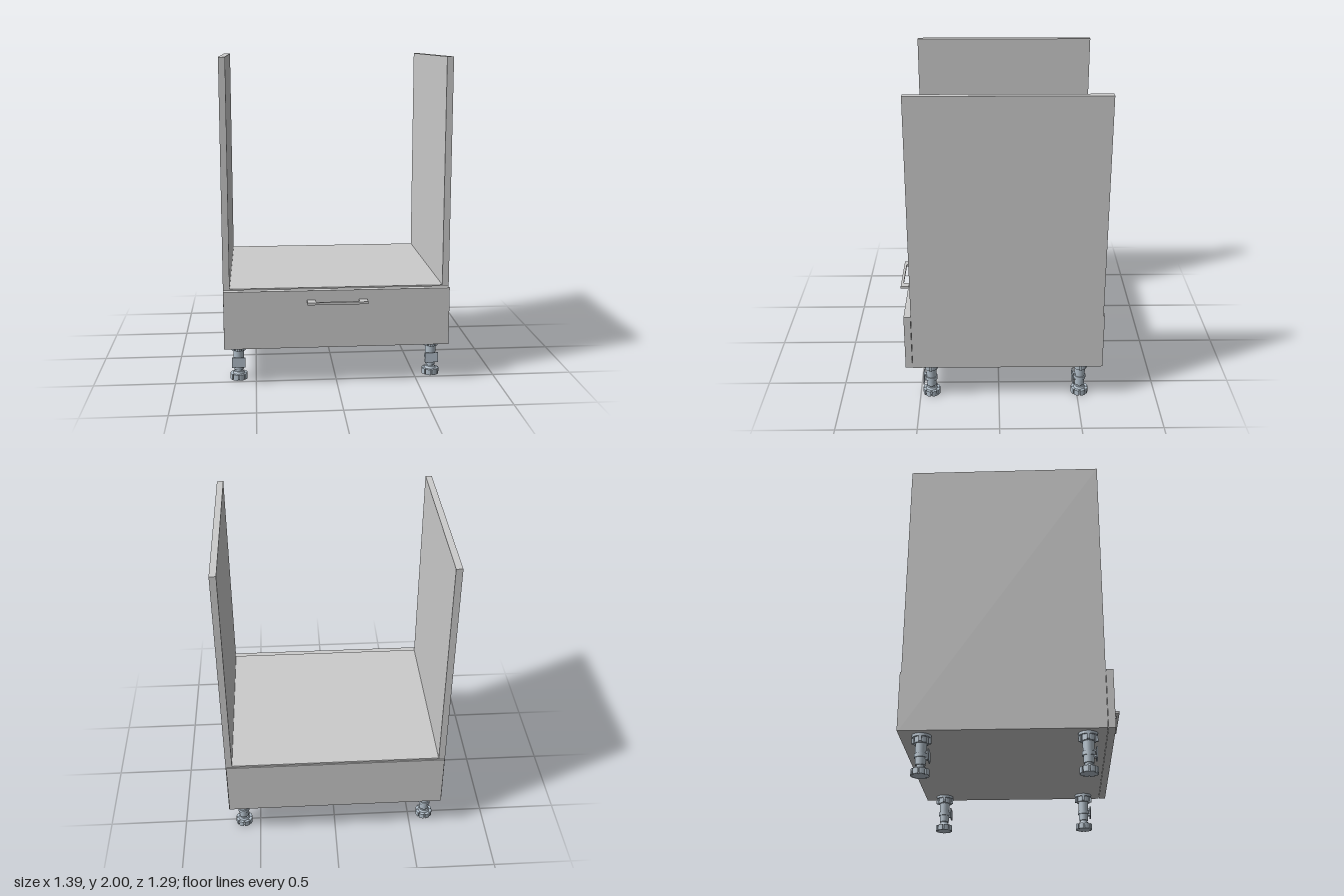
import * as THREE from 'three';

const grey = new THREE.MeshStandardMaterial({ color: 0xcccccc });
const legGrey = new THREE.MeshStandardMaterial({ color: 0xb2bfca });

function add(parent, name, geometry, material = grey) {
  const mesh = new THREE.Mesh(geometry, material);
  mesh.name = name;
  parent.add(mesh);
  return mesh;
}

// Box given by its limits on each axis
function slab(parent, name, [x0, x1], [y0, y1], [z0, z1], material) {
  const mesh = add(parent, name, new THREE.BoxGeometry(x1 - x0, y1 - y0, z1 - z0), material);
  mesh.position.set((x0 + x1) / 2, (y0 + y1) / 2, (z0 + z1) / 2);
  return mesh;
}

function cylinder(parent, name, rTop, rBottom, y0, y1) {
  const mesh = add(parent, name, new THREE.CylinderGeometry(rTop, rBottom, y1 - y0, 24), legGrey);
  mesh.position.y = (y0 + y1) / 2;
  return mesh;
}

// Flat disc with evenly spaced slots cut into its rim
function slottedDisc(parent, name, radius, inner, slots, y0, y1) {
  const shape = new THREE.Shape();
  const step = (Math.PI * 2) / slots;
  const gap = step * 0.1;
  for (let i = 0; i < slots; i++) {
    const a = i * step + gap, b = (i + 1) * step - gap;
    const p = [inner * Math.cos(a), inner * Math.sin(a)];
    if (i === 0) shape.moveTo(...p); else shape.lineTo(...p);
    for (let k = 0; k <= 4; k++) {
      const t = a + ((b - a) * k) / 4;
      shape.lineTo(radius * Math.cos(t), radius * Math.sin(t));
    }
    shape.lineTo(inner * Math.cos(b), inner * Math.sin(b));
  }
  const geometry = new THREE.ExtrudeGeometry(shape, { depth: y1 - y0, bevelEnabled: false });
  geometry.rotateX(-Math.PI / 2);
  const mesh = add(parent, name, geometry, legGrey);
  mesh.position.y = y0;
  return mesh;
}

function createLeg() {
  const leg = new THREE.Group();
  leg.name = 'adjustableLeg';

  // Foot pad and threaded stem
  slottedDisc(leg, 'footPad', 0.054, 0.042, 8, 0, 0.036);
  cylinder(leg, 'footCollar', 0.03, 0.036, 0.036, 0.05);
  cylinder(leg, 'footStem', 0.022, 0.022, 0.04, 0.08);

  // Main tube and mounting flange
  cylinder(leg, 'legTube', 0.034, 0.03, 0.062, 0.2);
  slottedDisc(leg, 'flangeSocket', 0.045, 0.036, 6, 0.188, 0.225);
  cylinder(leg, 'flangePlate', 0.056, 0.056, 0.222, 0.238);
  for (let i = 0; i < 4; i++) {
    const rib = slab(leg, 'flangeRib', [-0.008, 0.008], [0.19, 0.23], [0.03, 0.056], legGrey);
    const a = (i * Math.PI) / 2;
    rib.position.set(Math.sin(a) * 0.043, 0.21, Math.cos(a) * 0.043);
    rib.rotation.y = a;
  }

  // Plinth clip on the front of the tube
  slab(leg, 'clipPlate', [-0.042, 0.042], [0.085, 0.148], [0.042, 0.05], legGrey);
  for (const y of [0.095, 0.13]) {
    slab(leg, 'clipArm', [-0.014, 0.014], [y, y + 0.012], [0.02, 0.044], legGrey);
  }
  const ring = cylinder(leg, 'clipRing', 0.038, 0.038, 0.105, 0.128);
  ring.scale.set(0.98, 1, 0.98);
  return leg;
}

export function createModel() {
  const model = new THREE.Group();
  model.name = 'ovenCabinet';

  // Carcass
  for (const s of [-1, 1]) {
    const side = slab(model, s > 0 ? 'leftSide' : 'rightSide', [-0.02, 0.02], [0.24, 2], [-0.64, 0.54]);
    side.position.x = s * 0.674;
  }
  slab(model, 'bottomPanel', [-0.654, 0.654], [0.24, 0.28], [-0.64, 0.54]);
  slab(model, 'shelf', [-0.654, 0.654], [0.568, 0.608], [-0.635, 0.54]);
  slab(model, 'backPanel', [-0.691, 0.691], [0.242, 0.602], [-0.648, -0.64]);

  // Drawer front
  slab(model, 'drawerFront', [-0.692, 0.692], [0.24, 0.6], [0.542, 0.584]);

  // Flat bracket handle
  const u = new THREE.Shape([
    [-0.185, 0], [-0.134, 0], [-0.134, 0.046], [0.132, 0.046],
    [0.132, 0], [0.183, 0], [0.183, 0.062], [-0.185, 0.062],
  ].map(([x, y]) => new THREE.Vector2(x, y)));
  const handle = add(model, 'handle',
    new THREE.ExtrudeGeometry(u, { depth: 0.015, bevelEnabled: false }).rotateX(Math.PI / 2));
  handle.position.set(0, 0.541, 0.584);

  // Four legs, all with their clips to the front
  for (const x of [-0.608, 0.608]) {
    for (const z of [0.43, -0.517]) {
      const leg = createLeg();
      leg.position.set(x, 0, z);
      model.add(leg);
    }
  }
  return model;
}
